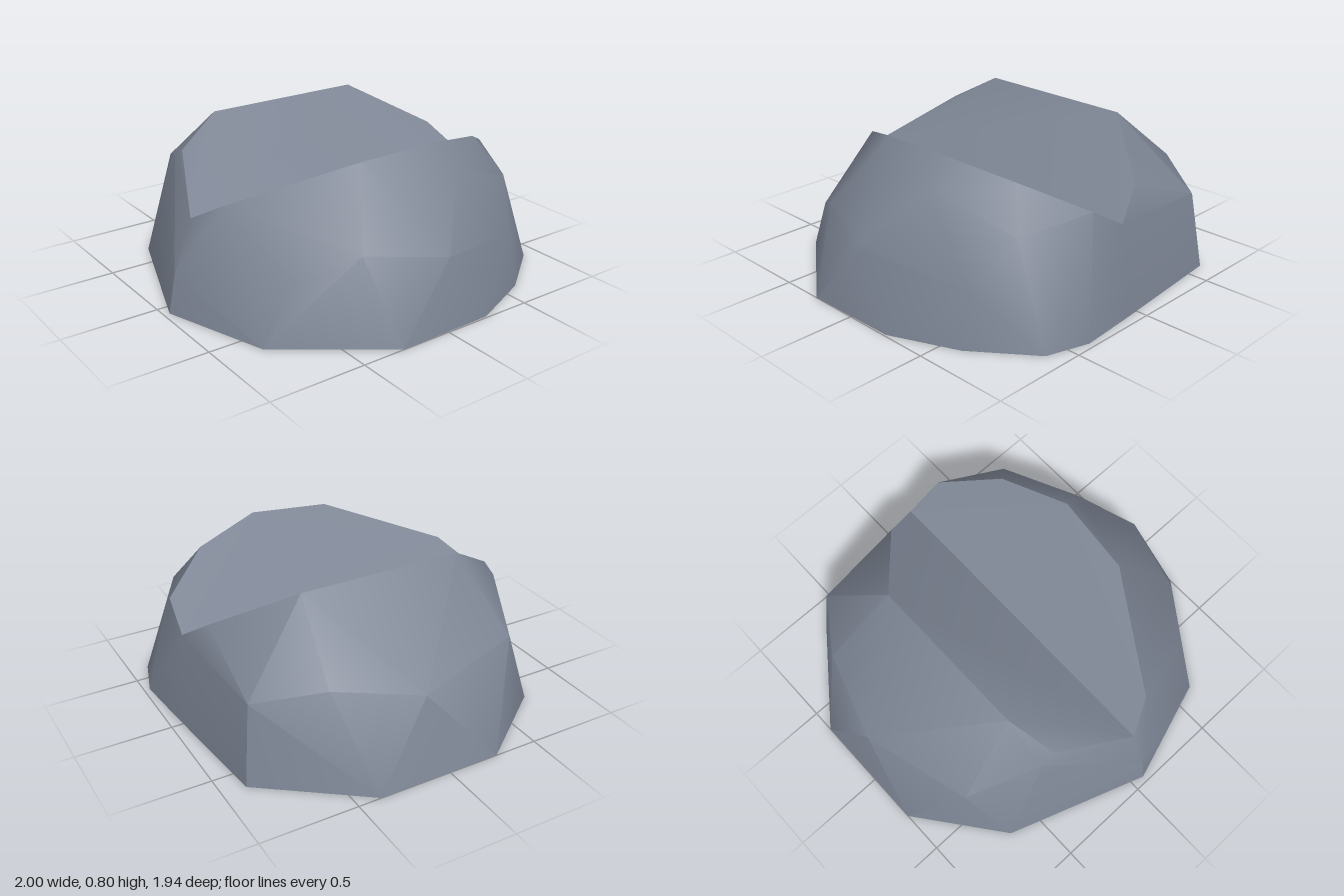
import * as THREE from 'three';
import { toCreasedNormals } from 'three/addons/utils/BufferGeometryUtils.js';
import { ConvexGeometry } from 'three/addons/geometries/ConvexGeometry.js';

const VALLEY_X = 0.07;
const VALLEY_Y = 0.465;

// Corners on the seam where the two lumps meet: ground and groove bottom
const seam = [
  [VALLEY_X, 0, 0.97], [VALLEY_X, 0.2, 0.93], [VALLEY_X, VALLEY_Y, 0.83],
  [VALLEY_X, VALLEY_Y, -0.88], [VALLEY_X, 0, -0.945],
];

// Lump on the -x side
const rightCorners = [
  [-0.4, 0.8, 0.41], [-0.4, 0.8, -0.46],                        // ridge
  [-0.32, 0.66, 0.65], [-0.11, 0.59, -0.81],                    // groove ends
  [-0.91, 0.41, -0.09], [-0.76, 0.48, 0.49], [-0.77, 0.49, -0.52], // shoulder
  [-0.4, 0.62, 0.65], [-0.57, 0.41, -0.83],
  [-1, 0, -0.38], [-1, 0, 0.27], [-0.66, 0, 0.71], [-0.62, 0, -0.88], // ground
];

// Lump on the +x side; ridge heights follow the sloping groove wall
const ridge = [[0.23, 0.74], [0.56, 0.19], [0.6, -0.23], [0.48, -0.59], [0.26, -0.86]]
  .map(([x, z]) => [x, VALLEY_Y + 0.595 * (x - VALLEY_X), z]);
const leftCorners = [
  ...ridge,
  [0.66, 0.3, 0.62], [0.81, 0.42, 0.37], [0.95, 0.36, -0.03],   // shoulder
  [0.72, 0.66, -0.27], [0.6, 0.51, -0.71], [0.78, 0.27, -0.6],
  [0.62, 0, 0.79], [1, 0, 0.27], [0.99, 0, -0.25],              // ground
  [0.84, 0, -0.6], [0.61, 0, -0.9], [0.39, 0, -0.97],
];

// Hull triangles of one lump, without the ground face and the inner seam wall
function shell(corners) {
  const hull = new ConvexGeometry([...corners, ...seam].map((c) => new THREE.Vector3(...c)));
  const p = hull.attributes.position;
  const out = [];
  for (let i = 0; i < p.count; i += 3) {
    const tri = [i, i + 1, i + 2];
    const onGround = tri.every((k) => Math.abs(p.getY(k)) < 1e-4);
    const onSeam = tri.every((k) => Math.abs(p.getX(k) - VALLEY_X) < 1e-4);
    if (onGround || onSeam) continue;
    for (const k of tri) out.push(p.getX(k), p.getY(k), p.getZ(k));
  }
  return out;
}

export function createModel() {
  const group = new THREE.Group();
  group.name = 'splitBoulder';

  // Both lumps form one open-bottomed rock
  const geometry = new THREE.BufferGeometry();
  geometry.setAttribute('position',
    new THREE.Float32BufferAttribute([...shell(rightCorners), ...shell(leftCorners)], 3));

  // Slate-coloured stone, softened across the shallow edges only
  const material = new THREE.MeshStandardMaterial({ color: 0x7c8493, side: THREE.DoubleSide });
  const rock = new THREE.Mesh(toCreasedNormals(geometry, 0.6), material);
  rock.name = 'rock';
  group.add(rock);
  return group;
}
